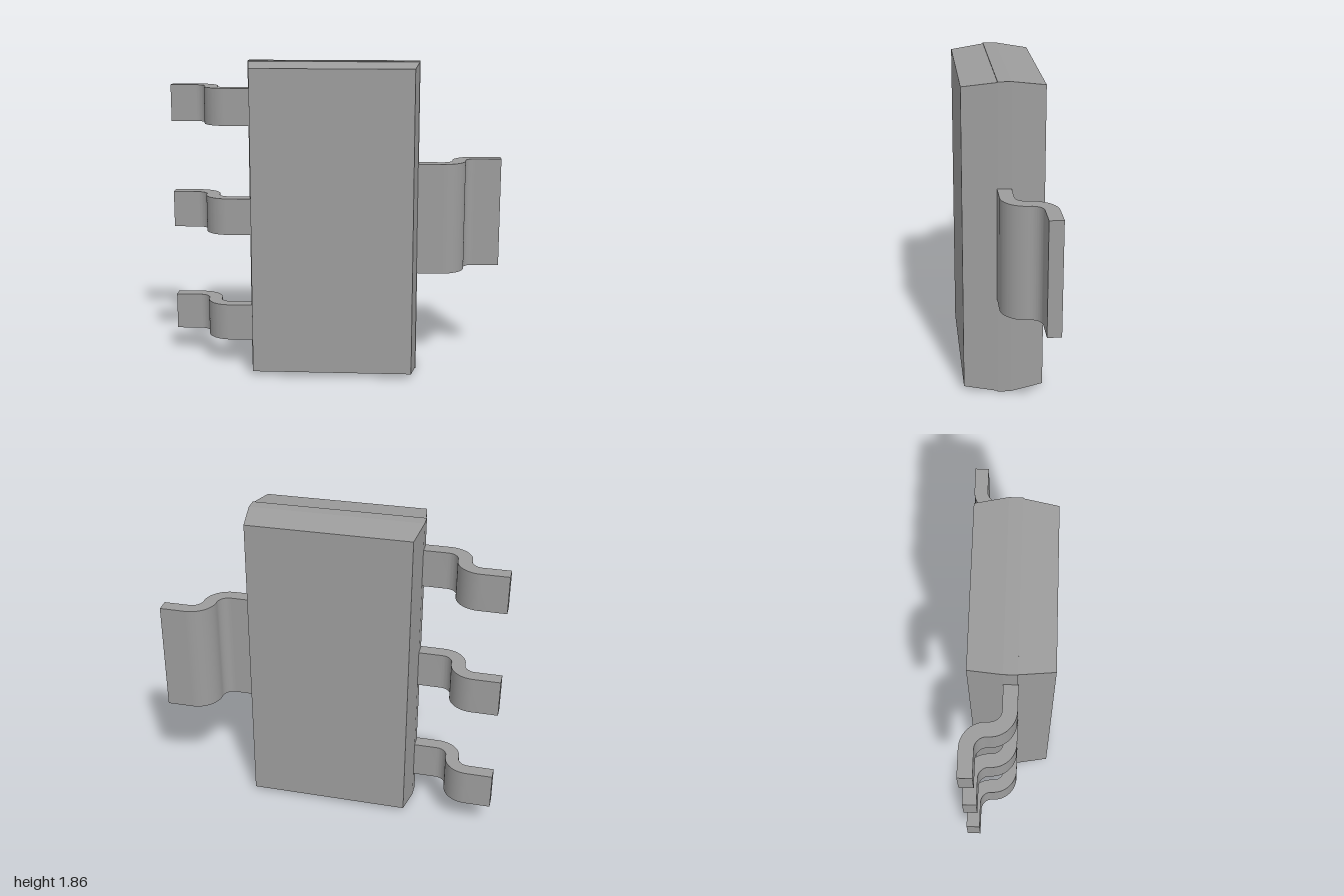
import * as THREE from 'three';
import { toCreasedNormals } from 'three/addons/utils/BufferGeometryUtils.js';

const MID_Y = 0.928;
const material = new THREE.MeshStandardMaterial({ color: 0x9d9d9d });

// Faceted block through rectangular layers [z, half width, half height], back to front
function blockGeometry(layers) {
  const steps = layers.length - 1;
  const box = new THREE.BoxGeometry(2, 2, steps, 1, 1, steps);
  const pos = box.attributes.position;
  for (let i = 0; i < pos.count; i++) {
    const [z, w, h] = layers[Math.round(pos.getZ(i) + steps / 2)];
    pos.setXYZ(i, pos.getX(i) * w, pos.getY(i) * h, z);
  }
  const flat = box.toNonIndexed();
  flat.computeVertexNormals();
  return flat;
}

// S-bent strip, drawn in x and -z, extruded along y and centred on y = 0
function leadGeometry(height) {
  const outer = 0.145, inner = 0.065;
  const x1 = 0.637, x2 = 0.847; // bend centres
  const s1 = 0.092, s2 = 0.1;
  const q = Math.PI / 2;
  const shape = new THREE.Shape();
  shape.moveTo(0.49, s1 - outer);
  shape.lineTo(x1, s1 - outer);
  shape.absarc(x1, s1, outer, -q, 0, false);
  shape.absarc(x2, s2, inner, Math.PI, q, true);
  shape.lineTo(1, s2 + inner);
  shape.lineTo(1, s2 + outer);
  shape.lineTo(x2, s2 + outer);
  shape.absarc(x2, s2, outer, q, Math.PI, false);
  shape.absarc(x1, s1, inner, 0, -q, true);
  shape.lineTo(0.49, s1 - inner);
  shape.closePath();
  const geo = new THREE.ExtrudeGeometry(shape, { depth: height, bevelEnabled: false, curveSegments: 12 });
  geo.translate(0, 0, -height / 2);
  geo.rotateX(-q);
  return toCreasedNormals(geo, 0.5);
}

export function createModel() {
  const group = new THREE.Group();
  group.name = 'surfaceMountPackage';

  const add = (name, geometry, y) => {
    const mesh = new THREE.Mesh(geometry, material);
    mesh.name = name;
    mesh.position.y = y;
    group.add(mesh);
    return mesh;
  };

  // Moulded body: two halves meeting at a fine parting step
  add('backHalf', blockGeometry([
    [-0.215, 0.473, 0.9],
    [-0.027, 0.5, 0.928],
    [0.05, 0.5, 0.928],
  ]), MID_Y);
  add('frontHalf', blockGeometry([
    [0.05, 0.497, 0.924],
    [0.245, 0.47, 0.898],
  ]), MID_Y);

  // Wide tab on one side
  add('wideTab', leadGeometry(0.66), MID_Y);

  // Three narrow pins on the other side, turned half round
  const pin = leadGeometry(0.22);
  ['lowerPin', 'middlePin', 'upperPin'].forEach((name, i) => {
    add(name, pin, MID_Y + (i - 1) * 0.657).rotation.z = Math.PI;
  });

  return group;
}
